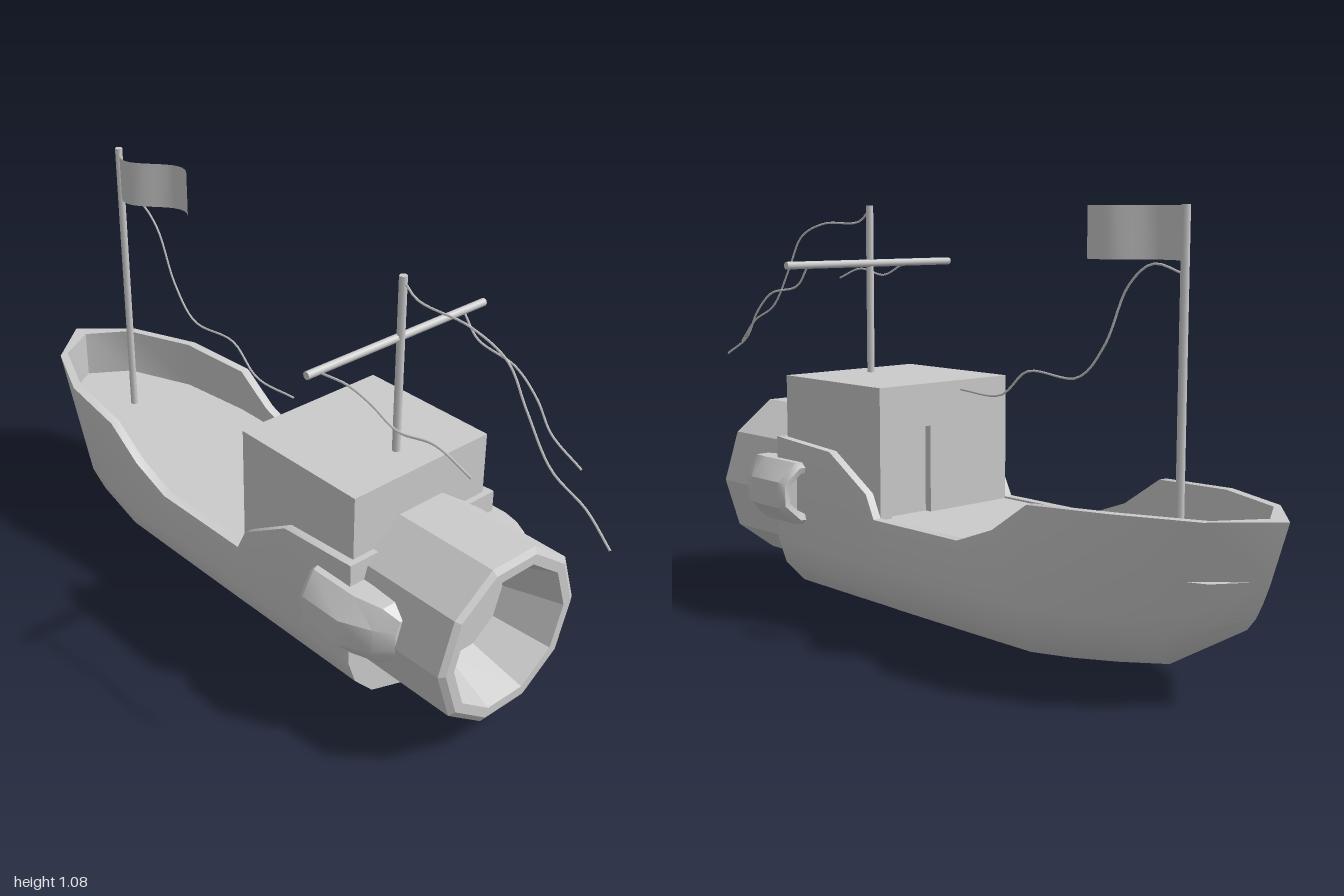
import * as THREE from 'three';
import { toCreasedNormals } from 'three/addons/utils/BufferGeometryUtils.js';

const grey = new THREE.MeshStandardMaterial({ color: 0xcccccc });
const thin = new THREE.MeshStandardMaterial({ color: 0xcccccc, side: THREE.DoubleSide });

// Skin closed sections (clockwise seen from +z, ordered from +z to -z), optionally capped
function loft(sections, caps, crease) {
  const n = sections[0].length, pos = [], idx = [];
  sections.forEach(s => s.forEach(p => pos.push(...p)));
  for (let i = 0; i < sections.length - 1; i++) {
    for (let j = 0; j < n; j++) {
      const k = (j + 1) % n, a = i * n + j, b = i * n + k;
      idx.push(a, b, b + n, a, b + n, a + n);
    }
  }
  if (caps) {
    const e = (sections.length - 1) * n;
    for (let j = 1; j < n - 1; j++) idx.push(0, j + 1, j, e, e + j, e + j + 1);
  }
  const g = new THREE.BufferGeometry();
  g.setAttribute('position', new THREE.Float32BufferAttribute(pos, 3));
  g.setIndex(idx);
  return toCreasedNormals(g, crease);
}

// Hull rib: gunwale z, keel z, half width, gunwale height, keel height
const HEIGHTS = [1, 0.42, 0.26, 0.12, 0], WIDTHS = [1, 1, 0.9, 0.66, 0];
const DECK = 0.295;
function rib([zt, zk, w, top, keel]) {
  const inner = Math.max(w - 0.025, 0), zi = w === 0 ? zt + 0.05 : zt;
  const half = [[inner, DECK, zi], [inner, top, zi]];
  HEIGHTS.forEach((f, i) => {
    const y = i === 0 ? top : keel + f * (0.43 - keel);
    half.push([w * WIDTHS[i], y, zk + (zt - zk) * Math.pow(f, 0.7)]);
  });
  const mirror = half.slice(0, -1).reverse().map(([x, y, z]) => [-x, y, z]);
  return [[0, DECK, zi], ...half, ...mirror];
}

// Engine pod on one side, with a hollow rear end
function pod(side) {
  // z, centre x, half width, half height, slant of the section
  const rows = [
    [0.62, 0.205, 0.022, 0.05, 0], [0.585, 0.215, 0.053, 0.078, 0],
    [0.51, 0.225, 0.08, 0.083, 0], [0.365, 0.225, 0.08, 0.083, 0.3],
    [0.35, 0.225, 0.07, 0.07, 0.3], [0.355, 0.225, 0.055, 0.055, 0.3],
    [0.39, 0.225, 0.05, 0.05, 0.3]
  ];
  return loft(rows.map(([z, cx, hx, hy, slant]) => {
    const ring = [];
    for (let i = 0; i < 8; i++) {
      const a = -(i + 0.5) * Math.PI / 4, c = Math.cos(a) * 1.08, s = Math.sin(a) * 1.08;
      ring.push([side * cx + c * hx, 0.325 + s * hy, z + slant * side * c * hx]);
    }
    return ring;
  }), true, 0.6);
}

export function createModel() {
  const model = new THREE.Group();
  const add = (name, geo, x = 0, y = 0, z = 0, mat = grey) => {
    const m = new THREE.Mesh(geo, mat);
    m.name = name;
    m.position.set(x, y, z);
    model.add(m);
    return m;
  };

  // Hull with bulwarks and deck
  const ribs = [
    [0.48, 0.48, 0.24, 0.465, 0.005], [0.25, 0.25, 0.24, 0.45, 0.003],
    [0.10, 0.10, 0.24, 0.36, 0.002], [0.07, 0.07, 0.24, 0.30, 0.001],
    [-0.24, -0.2, 0.24, 0.30, 0], [-0.36, -0.3, 0.24, 0.345, 0],
    [-0.47, -0.39, 0.24, 0.42, 0], [-0.69, -0.54, 0.215, 0.43, 0.025],
    [-0.88, -0.69, 0.135, 0.43, 0.055], [-1, -0.9, 0, 0.43, 0.18]
  ].map(rib);
  add('hull', loft(ribs, false, 0.7));

  // Transom closing the stern
  const outline = new THREE.Shape(ribs[0].slice(3, -2).map(([x, y]) => new THREE.Vector2(x, y)));
  add('transom', new THREE.ExtrudeGeometry(outline, { depth: 0.018, bevelEnabled: false }), 0, 0, 0.463);

  // Cabin, with a doorway recessed into the wall facing the bow
  add('cabin', new THREE.BoxGeometry(0.434, 0.34, 0.375), 0, 0.46, 0.2775);
  const wall = new THREE.Shape([
    [-0.217, 0.29], [0.05, 0.29], [0.05, 0.52], [0.18, 0.52],
    [0.18, 0.29], [0.217, 0.29], [0.217, 0.63], [-0.217, 0.63]
  ].map(p => new THREE.Vector2(...p)));
  add('doorWall', new THREE.ExtrudeGeometry(wall, { depth: 0.02, bevelEnabled: false }), 0, 0, 0.07);

  // Ten-sided thruster nozzle with a funnel mouth
  const profile = [[0.229, 0.44], [0.229, 0.755], [0.213, 0.765], [0.187, 0.765], [0.134, 0.62], [0, 0.62]];
  const nozzle = new THREE.LatheGeometry(profile.map(p => new THREE.Vector2(...p)), 10, Math.PI / 2);
  nozzle.rotateX(Math.PI / 2);
  add('thruster', toCreasedNormals(nozzle, 0.15), 0, 0.307, 0);

  // Side pods
  add('leftPod', pod(1));
  add('rightPod', pod(-1));

  // Masts and yard
  const pole = len => new THREE.CylinderGeometry(0.01, 0.01, len, 8);
  add('foreMast', pole(0.785), 0, 0.6875, -0.71);
  add('mainMast', pole(0.46), 0, 0.85, 0.375);
  add('yard', pole(0.56), 0, 0.926, 0.37).rotation.z = Math.PI / 2;

  // Waving flag
  const flag = new THREE.PlaneGeometry(0.25, 0.12, 16, 1);
  flag.rotateY(-Math.PI / 2);
  const p = flag.attributes.position;
  for (let i = 0; i < p.count; i++) {
    const t = p.getZ(i) / 0.25 + 0.5;
    p.setX(i, -0.042 * Math.sin(t * Math.PI * 1.75));
  }
  flag.computeVertexNormals();
  add('flag', flag, 0, 1.018, -0.575, thin);

  // Loose ropes streaming from the masts: x, then [z, y] points
  const ropes = {
    mastRope: [0, [[0.375, 1.07], [0.42, 1.037], [0.58, 1.03], [0.69, 0.99], [0.75, 0.9], [0.83, 0.79], [0.93, 0.74], [1, 0.675]]],
    rightYardRope: [-0.24, [[0.375, 0.92], [0.46, 0.925], [0.53, 0.91], [0.61, 0.88], [0.72, 0.895], [0.82, 0.865]]],
    leftYardRope: [0.21, [[0.375, 0.92], [0.42, 0.87], [0.54, 0.845], [0.61, 0.79], [0.66, 0.72], [0.755, 0.668]]],
    foreRope: [0, [[-0.71, 0.93], [-0.62, 0.95], [-0.55, 0.9], [-0.48, 0.76], [-0.40, 0.68], [-0.23, 0.68], [-0.14, 0.615], [0.01, 0.615]]]
  };
  for (const [name, [x, pts]] of Object.entries(ropes)) {
    const curve = new THREE.CatmullRomCurve3(pts.map(([z, y]) => new THREE.Vector3(x, y, z)));
    add(name, new THREE.TubeGeometry(curve, 40, 0.003, 5));
  }
  return model;
}
